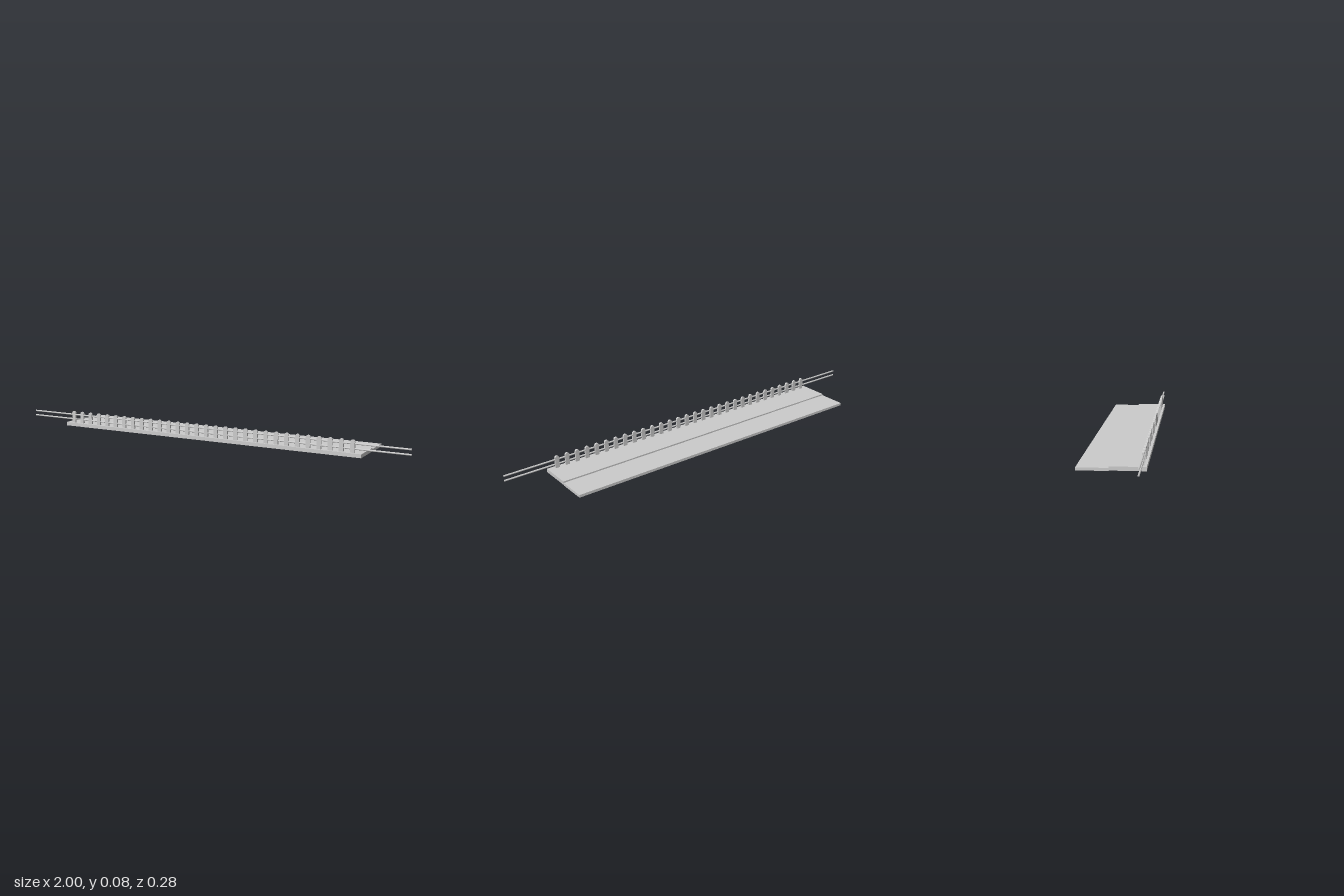
import * as THREE from 'three';

const grey = new THREE.MeshStandardMaterial({ color: 0xcccccc });

function add(parent, name, geometry, x, y, z) {
  const mesh = new THREE.Mesh(geometry, grey);
  mesh.name = name;
  mesh.position.set(x, y, z);
  parent.add(mesh);
  return mesh;
}

// Box given by its y and z limits, centred on x
function slab(parent, name, width, y0, y1, z0, z1) {
  add(parent, name, new THREE.BoxGeometry(width, y1 - y0, z1 - z0), 0, (y0 + y1) / 2, (z0 + z1) / 2);
}

export function createModel() {
  const group = new THREE.Group();
  group.name = 'picketFence';

  // Raised walkway in front, lower strip behind it
  const length = 1.576;
  slab(group, 'walkway', length, 0.002, 0.019, -0.008, 0.142);
  slab(group, 'lowerStrip', length, 0, 0.0125, -0.142, -0.008);

  // Picket: flat board with a rounded top
  const fenceZ = 0.126, base = 0.018, top = 0.077, r = 0.01, depth = 0.009;
  const outline = new THREE.Shape();
  outline.moveTo(-r, 0);
  outline.lineTo(r, 0);
  outline.lineTo(r, top - base - r);
  outline.absarc(0, top - base - r, r, 0, Math.PI, false);
  outline.closePath();
  const picket = new THREE.ExtrudeGeometry(outline, { depth, bevelEnabled: false, curveSegments: 6 });
  picket.translate(0, 0, -depth / 2);

  const pickets = new THREE.Group();
  pickets.name = 'pickets';
  group.add(pickets);
  for (let i = 0; i < 30; i++) add(pickets, 'picket', picket, -0.75 + i * 0.0515, base, fenceZ);

  // Two round rails running through the pickets and past both ends
  const rail = new THREE.CylinderGeometry(0.004, 0.004, 2, 12);
  rail.rotateZ(Math.PI / 2);
  add(group, 'lowerRail', rail, 0, 0.0365, fenceZ);
  add(group, 'upperRail', rail, 0, 0.0595, fenceZ);

  return group;
}
